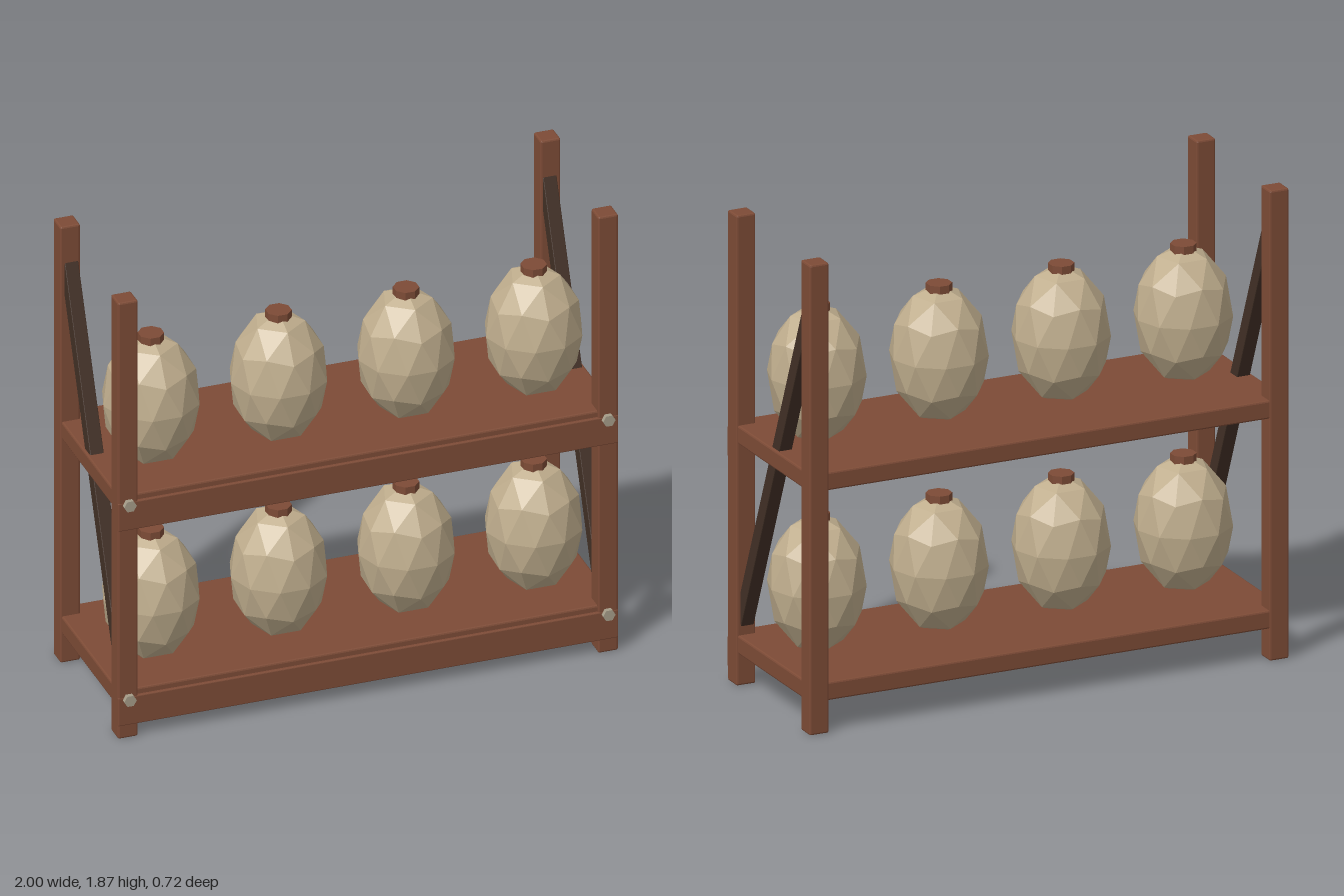
import * as THREE from 'three';
import { RoundedBoxGeometry } from 'three/addons/geometries/RoundedBoxGeometry.js';

function material(name, color) {
  const m = new THREE.MeshStandardMaterial({ color });
  m.name = name;
  return m;
}

export function createModel() {
  const wood = material('wood', 0x7d4b36);
  const darkWood = material('darkWood', 0x423026);
  const clay = material('clay', 0xbfad8d);
  const metal = material('metal', 0xa59c88);
  const model = new THREE.Group();
  model.name = 'jarRack';

  function add(name, geometry, mat, x, y, z, parent = model) {
    const mesh = new THREE.Mesh(geometry, mat);
    mesh.name = name;
    mesh.position.set(x, y, z);
    parent.add(mesh);
    return mesh;
  }

  // Box with narrow flat chamfers
  function beam(w, h, d, bevel = 0.007) {
    const g = new RoundedBoxGeometry(w, h, d, 1, bevel);
    g.computeVertexNormals();
    return g;
  }

  // Flat-sided cylinder with crisp facets
  function prism(rTop, rBottom, h, sides) {
    const g = new THREE.CylinderGeometry(rTop, rBottom, h, sides).toNonIndexed();
    g.computeVertexNormals();
    return g;
  }

  // Faceted jar: a stretched icosphere standing on one of its corners
  const jarBody = new THREE.IcosahedronGeometry(1, 1);
  jarBody.rotateZ(Math.atan(2 / (1 + Math.sqrt(5))));
  jarBody.rotateY(Math.PI / 2);
  jarBody.scale(0.19, 0.272, 0.19);
  jarBody.computeVertexNormals();
  const jarLid = prism(0.05, 0.05, 0.045, 8);
  jarLid.rotateY(Math.PI / 8);

  // Corner posts, diagonal side braces
  const post = beam(0.08, 1.87, 0.08);
  const brace = beam(0.055, 1.61, 0.055, 0.003);
  for (const s of [-1, 1]) {
    add('frontPost', post, wood, s * 0.96, 0.935, 0.306);
    add('backPost', post, wood, s * 0.96, 0.935, -0.32);
    add('sideBrace', brace, darkWood, s * 0.956, 0.975, -0.007).rotation.x = -Math.atan2(0.61, 1.49);
  }

  // Two shelves, each with a front rail, two bolts and a row of jars
  const board = beam(1.99, 0.073, 0.69);
  const rail = beam(2, 0.12, 0.035, 0.004);
  const bolt = prism(0.025, 0.025, 0.025, 6);
  bolt.rotateX(Math.PI / 2).rotateZ(Math.PI / 2);
  for (const top of [0.2, 1.035]) {
    add('shelfBoard', board, wood, 0, top - 0.0365, -0.01);
    add('frontRail', rail, wood, 0, top - 0.085, 0.33);
    for (const s of [-1, 1]) add('bolt', bolt, metal, s * 0.957, top - 0.035, 0.352);

    for (let i = 0; i < 4; i++) {
      const jar = new THREE.Group();
      jar.name = 'jar';
      jar.position.set((i - 1.5) * 0.51, top, 0.063);
      model.add(jar);
      add('jarBody', jarBody, clay, 0, 0.24, 0, jar);
      add('jarLid', jarLid, wood, 0, 0.4975, 0, jar);
    }
  }

  return model;
}
